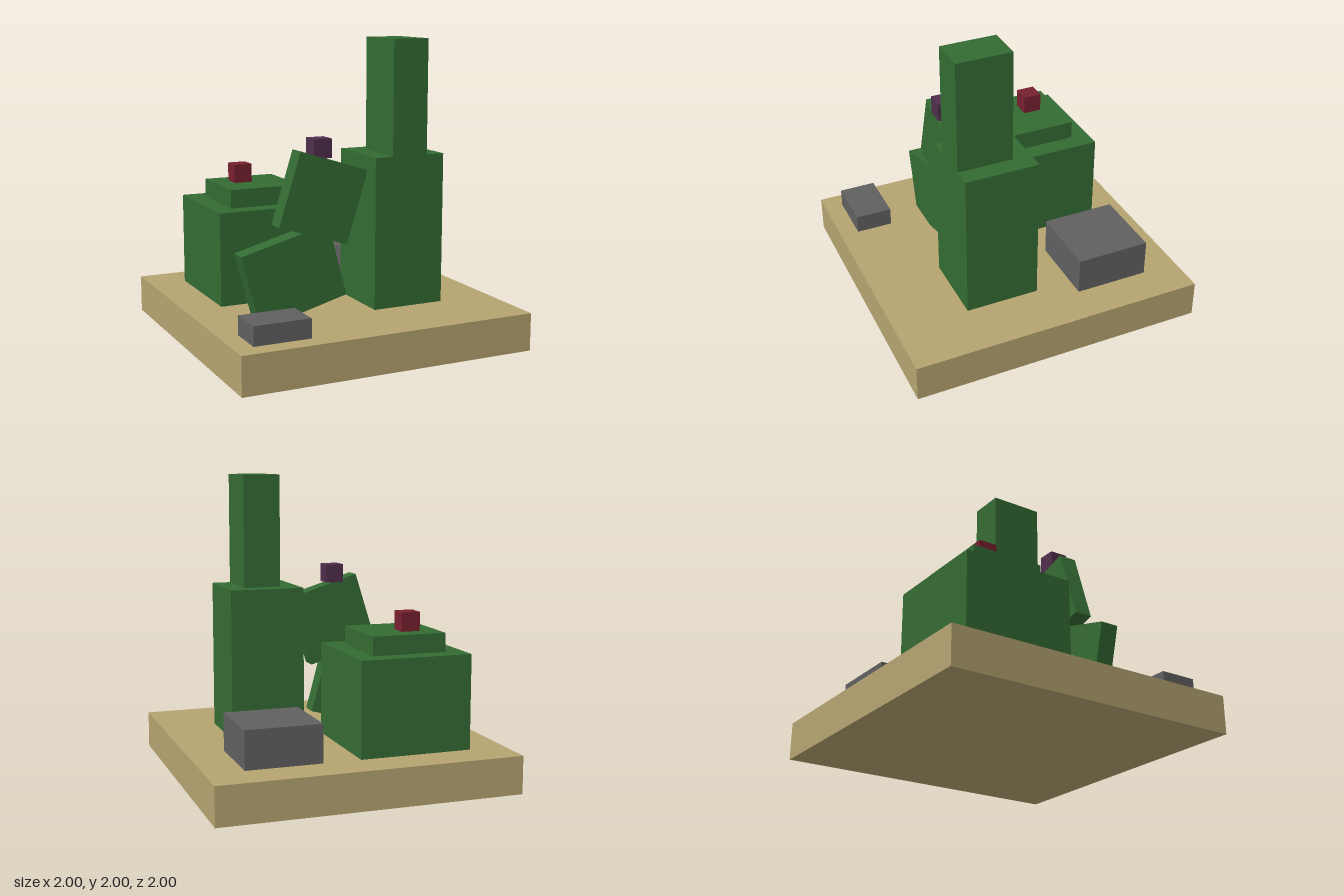
import * as THREE from 'three';

function flatMaterial(name, color) {
  const material = new THREE.MeshStandardMaterial({ color });
  material.name = name;
  return material;
}

export function createModel() {
  const model = new THREE.Group();
  model.name = 'blockGarden';

  const sand = flatMaterial('sand', 0xb5a370);
  const green = flatMaterial('plantGreen', 0x346b33);
  const stone = flatMaterial('stoneGrey', 0x606060);
  const red = flatMaterial('redFlower', 0x76202e);
  const purple = flatMaterial('purpleFlower', 0x4f2d4b);

  // Box with given size, centre and optional tilt about z (degrees)
  function tilted(name, material, size, centre, degrees = 0) {
    const mesh = new THREE.Mesh(new THREE.BoxGeometry(...size), material);
    mesh.name = name;
    mesh.position.set(...centre);
    mesh.rotation.z = THREE.MathUtils.degToRad(degrees);
    model.add(mesh);
  }

  // Upright box between two opposite corners
  function block(name, material, min, max) {
    const size = max.map((v, i) => v - min[i]);
    const centre = max.map((v, i) => (v + min[i]) / 2);
    tilted(name, material, size, centre);
  }

  // Ground slab and rocks
  block('base', sand, [-1, 0, -1], [1, 0.25, 1]);
  block('largeRock', stone, [0.25, 0.25, -0.75], [0.75, 0.5, -0.25]);
  block('smallRock', stone, [-0.875, 0.25, 0.625], [-0.5, 0.375, 0.875]);

  // Tall column plant
  block('columnLower', green, [0.125, 0.25, 0], [0.625, 1.25, 0.5]);
  block('columnUpper', green, [0.25, 1.25, 0.125], [0.5, 2, 0.5]);

  // Squat plant with a red flower
  block('squatBody', green, [-0.75, 0.25, -0.75], [0, 0.875, 0]);
  block('squatTop', green, [-0.625, 0.875, -0.625], [-0.125, 1, -0.125]);
  block('redFlower', red, [-0.5, 1, -0.5], [-0.375, 1.125, -0.375]);

  // Two thin tilted pads with a purple flower
  tilted('lowerPad', green, [0.625, 0.5, 0.125], [-0.385, 0.503, 0.3125], 15);
  tilted('upperPad', green, [0.5, 0.5, 0.125], [-0.18, 0.99, 0.3125], -17.5);
  block('purpleFlower', purple, [-0.25, 1.25, 0.25], [-0.125, 1.375, 0.375]);

  return model;
}
